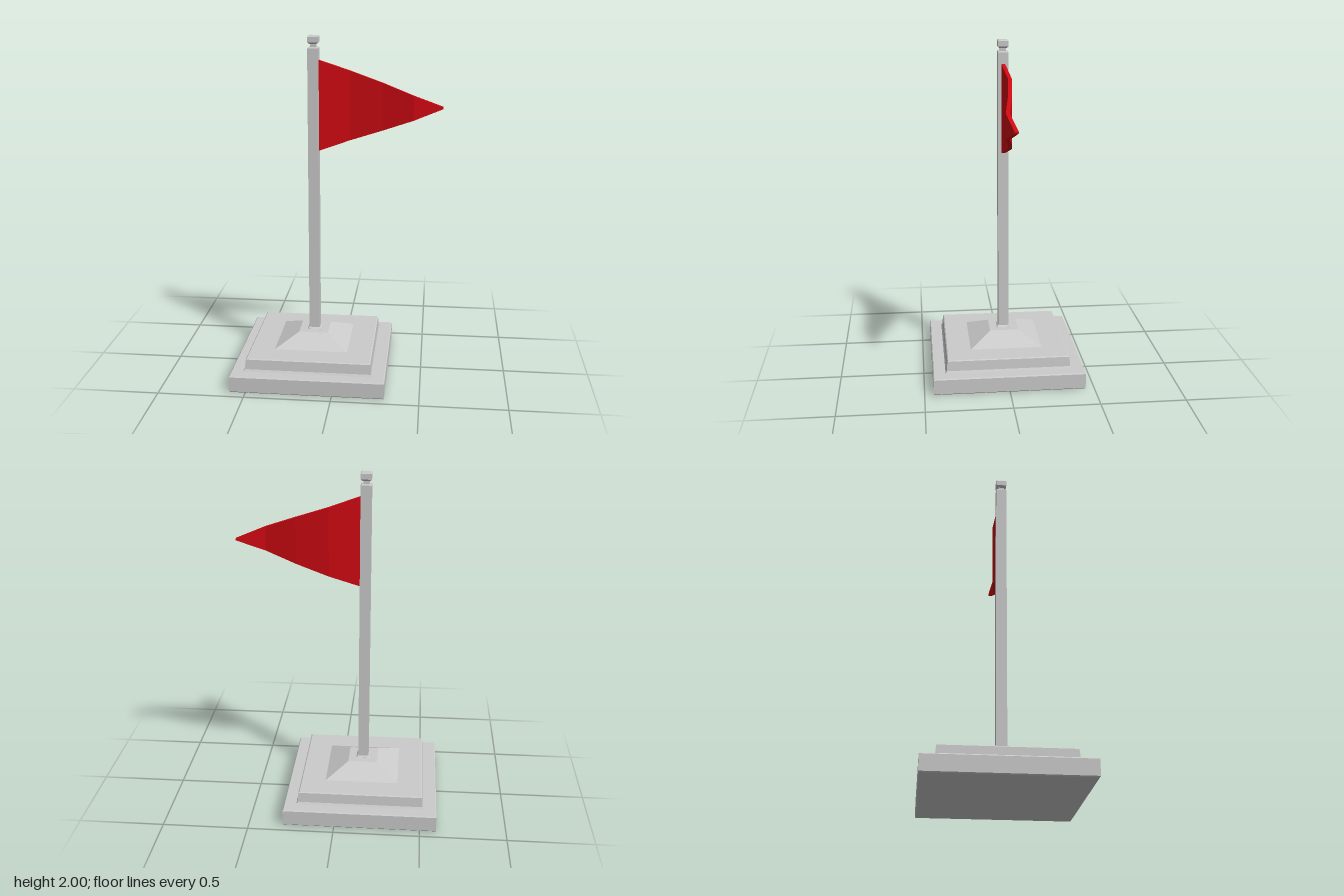
import * as THREE from 'three';

const grey = new THREE.MeshStandardMaterial({ color: 0xcccccc, flatShading: true });
const red = new THREE.MeshStandardMaterial({ color: 0xd00a12, flatShading: true });
const POLE_X = -0.147;

// Square solid from a profile of [half width, height] pairs, bottom to top
function squareTurned(name, profile) {
  const ring = profile.map(([half, y]) => new THREE.Vector2(half * Math.SQRT2, y));
  const points = [new THREE.Vector2(0, profile[0][1]), ...ring, new THREE.Vector2(0, profile.at(-1)[1])];
  const mesh = new THREE.Mesh(new THREE.LatheGeometry(points, 4, Math.PI / 4), grey);
  mesh.name = name;
  mesh.position.x = POLE_X;
  return mesh;
}

// Rippled pennant: a box whose columns follow [x, z, half height]
function pennant() {
  const columns = [
    [-0.12, 0, 0.262], [0.06, -0.021, 0.2], [0.25, -0.002, 0.135],
    [0.425, 0.028, 0.07], [0.592, 0, 0.005],
  ];
  const geometry = new THREE.BoxGeometry(4, 2, 0.022, 4, 1, 1);
  const p = geometry.attributes.position;
  for (let i = 0; i < p.count; i++) {
    const [x, z, half] = columns[Math.round(p.getX(i) + 2)];
    p.setXYZ(i, x, 1.602 + p.getY(i) * half, z + p.getZ(i));
  }
  geometry.computeVertexNormals();
  const mesh = new THREE.Mesh(geometry, red);
  mesh.name = 'flag';
  return mesh;
}

export function createModel() {
  const model = new THREE.Group();
  model.name = 'flagOnStand';
  model.add(
    // Stepped base
    squareTurned('basePlate', [[0.442, 0], [0.448, 0.006], [0.448, 0.094], [0.442, 0.1]]),
    squareTurned('baseStep', [[0.375, 0.099], [0.367, 0.112], [0.362, 0.17], [0.356, 0.175]]),
    squareTurned('baseMound', [[0.217, 0.174], [0.087, 0.24]]),
    // Pole with a small foot collar
    squareTurned('poleCollar', [[0.041, 0.238], [0.041, 0.241], [0.032, 0.25]]),
    squareTurned('pole', [[0.031, 0.238], [0.031, 1.93], [0.027, 1.936]]),
    // Finial
    squareTurned('finialNeck', [[0.017, 1.935], [0.017, 1.956]]),
    squareTurned('finial', [[0.02, 1.953], [0.031, 1.963], [0.031, 1.994], [0.026, 2]]),
    pennant(),
  );
  return model;
}
